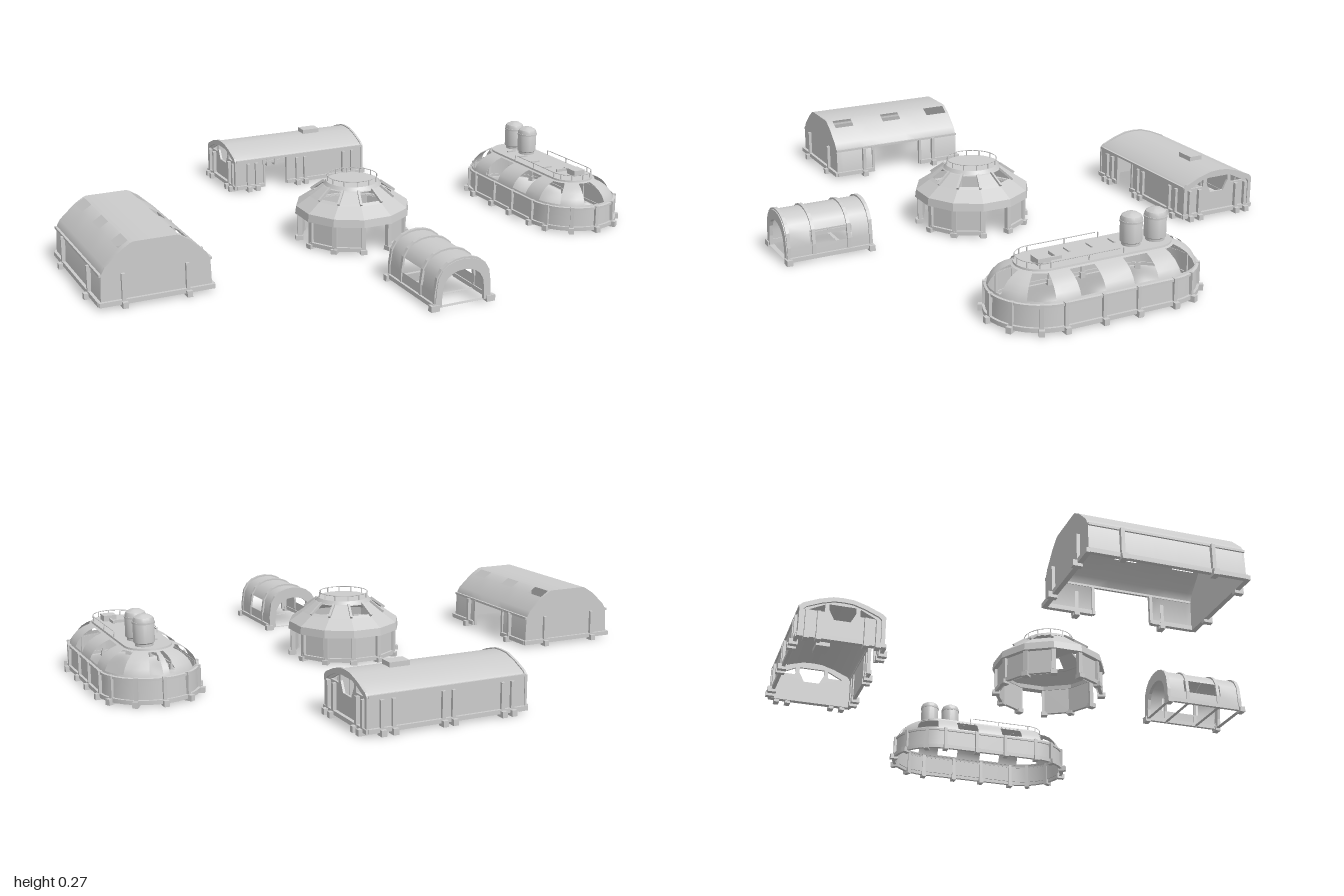
import * as THREE from 'three';
import { toCreasedNormals } from 'three/addons/utils/BufferGeometryUtils.js';

const mat = new THREE.MeshStandardMaterial({ color: 0xcccccc, side: THREE.DoubleSide });

function add(g, name, geo, x = 0, y = 0, z = 0, ry = 0) {
  const m = new THREE.Mesh(geo, mat);
  m.name = name;
  m.position.set(x, y, z);
  m.rotation.y = ry;
  g.add(m);
  return m;
}
const box = (g, name, w, h, d, x, y, z, ry) =>
  add(g, name, new THREE.BoxGeometry(w, h, d), x, y + h / 2, z, ry);

// Sheet swept through stations us and profile points vs; open(i, j) leaves a cell out
function shell(us, vs, point, open = () => false, crease = 0.5) {
  const pos = [];
  for (let i = 0; i < us.length - 1; i++) {
    for (let j = 0; j < vs.length - 1; j++) {
      if (open(i, j)) continue;
      const a = point(us[i], vs[j]), b = point(us[i + 1], vs[j]);
      const c = point(us[i + 1], vs[j + 1]), d = point(us[i], vs[j + 1]);
      pos.push(...a, ...b, ...c, ...a, ...c, ...d);
    }
  }
  const geo = new THREE.BufferGeometry();
  geo.setAttribute('position', new THREE.Float32BufferAttribute(pos, 3));
  return toCreasedNormals(geo, crease);
}
const mirror = half => [...half, ...half.slice(0, -1).reverse().map(([x, y]) => [-x, y])];
const alongZ = (z, p) => [p[0], p[1], z];
const poly = pts => new THREE.Shape(pts.map(p => new THREE.Vector2(p[0], p[1])));
const hole = pts => new THREE.Path(pts.map(p => new THREE.Vector2(p[0], p[1])));
const slab = (shape, depth) => new THREE.ExtrudeGeometry(shape, { depth, bevelEnabled: false });

// Arched hoop: outline grown outwards, inner outline cut through
function hoop(prof, grow, inner, depth) {
  const s = poly(prof.map(([x, y]) => [x * grow, y * grow - 0.01 * (grow - 1)]));
  s.holes.push(hole(prof.map(([x, y], i) =>
    [x * inner, i === 0 || i === prof.length - 1 ? 0.0102 : y * inner])));
  return slab(s, depth);
}

// Post with a wider foot, its outer side towards local +z
function post(g, x, z, ry, h) {
  const p = new THREE.Group();
  p.name = 'wallPost';
  p.position.set(x, 0, z);
  p.rotation.y = ry;
  box(p, 'postShaft', 0.012, h, 0.014, 0, 0.01, 0);
  box(p, 'postFoot', 0.018, 0.02, 0.03, 0, 0, 0.005);
  g.add(p);
}

function storageHall() {
  const g = new THREE.Group();
  g.name = 'storageHall';
  g.position.set(-0.795, 0, 0.115);
  const prof = mirror([[0.183, 0.01], [0.179, 0.11], [0.165, 0.135], [0.112, 0.183],
    [0.08, 0.203], [0.07, 0.206], [0, 0.206]]);
  const zs = [-0.255, -0.245, -0.16, -0.095, -0.045, 0.03, 0.105, 0.155, 0.23, 0.255];
  const n = prof.length - 2;
  const open = (i, j) => ((j === 3 || j === n - 3) && [1, 4, 7].includes(i)) ||
    (j === 0 && i >= 3 && i <= 5);
  add(g, 'wallsAndRoof', shell(zs, prof, alongZ, open));
  for (const s of [-1, 1]) {
    add(g, 'endWall', slab(poly(prof), 0.006), 0, 0, s * 0.252 - 0.003);
    box(g, 'endSill', 0.38, 0.015, 0.015, 0, 0.01, s * 0.258);
    box(g, 'eaveRail', 0.008, 0.008, 0.51, s * 0.181, 0.106, 0);
    for (const z of [-0.15, 0.145]) post(g, s * 0.187, z, s * Math.PI / 2, 0.1);
    for (const x of [-0.11, 0.1]) post(g, x, s * 0.259, s > 0 ? 0 : Math.PI, 0.1);
    box(g, 'doorJamb', 0.012, 0.1, 0.01, 0.181, 0.01, 0.005 + s * 0.1);
  }
  box(g, 'leftSillRear', 0.015, 0.015, 0.16, 0.185, 0.01, -0.175);
  box(g, 'leftSillFront', 0.015, 0.015, 0.15, 0.185, 0.01, 0.18);
  box(g, 'rightSill', 0.015, 0.015, 0.51, -0.185, 0.01, 0);
  for (const x of [-0.195, 0.195]) for (const z of [-0.15, 0.145]) box(g, 'foot', 0.02, 0.02, 0.02, x, 0, z);
  return g;
}

function entranceTunnel() {
  const g = new THREE.Group();
  g.name = 'entranceTunnel';
  g.position.set(0.035, 0, 0.685);
  const prof = mirror([[0.097, 0.01], [0.097, 0.055], [0.09, 0.103], [0.075, 0.128],
    [0.053, 0.145], [0.028, 0.154], [0, 0.157]]);
  const n = prof.length - 2;
  add(g, 'tunnelSkin', shell([-0.15, -0.08, 0.067, 0.15], prof, alongZ,
    (i, j) => i === 1 && (j === 1 || j === n - 1), 0.7));
  for (const z of [-0.145, -0.068, 0.055, 0.142]) add(g, 'rib', hoop(prof, 1.04, 0.97, 0.012), 0, 0, z - 0.006);
  for (const s of [-1, 1]) {
    add(g, 'endArch', hoop(prof, 1, 0.78, 0.012), 0, 0, s * 0.145 - 0.006);
    for (const z of [-0.145, 0.145]) box(g, 'foot', 0.03, 0.02, 0.02, s * 0.1, 0, z);
    box(g, 'sill', 0.012, 0.014, 0.3, s * 0.099, 0.008, 0);
  }
  return g;
}

function domeHouse() {
  const g = new THREE.Group();
  g.name = 'domeHouse';
  g.position.set(0.022, 0, 0.105);
  // twelve sides; side 0 faces the front, side 3 the left, side 9 the right
  const as = Array.from({ length: 13 }, (_, k) => (k - 0.5) * Math.PI / 6);
  const around = (a, p) => [p[0] * Math.sin(a), p[1], p[0] * Math.cos(a)];
  const door = i => [0, 3, 9].includes(i);
  add(g, 'lowerWall', shell(as, [[0.187, 0.01], [0.187, 0.1]], around, door, 0.1));
  add(g, 'innerWall', shell(as, [[0.178, 0.01], [0.178, 0.1]], around, door, 0.1));
  add(g, 'eaveBand', shell(as, [[0.175, 0.098], [0.204, 0.098], [0.2, 0.125], [0.152, 0.158], [0.145, 0.158]],
    around, undefined, 0.1));
  add(g, 'windowBand', shell(as, [[0.152, 0.158], [0.142, 0.166], [0.105, 0.194], [0.095, 0.2]], around,
    (i, j) => j === 1 && i % 2 === 0, 0.1));
  add(g, 'roofCap', new THREE.CylinderGeometry(0.092, 0.1, 0.012, 24), 0, 0.203, 0);
  add(g, 'roofRail', new THREE.TorusGeometry(0.088, 0.0015, 4, 36), 0, 0.227, 0).rotation.x = Math.PI / 2;
  as.slice(1).forEach((a, i) => {
    const s = Math.sin(a), c = Math.cos(a);
    box(g, 'railPost', 0.003, 0.02, 0.003, 0.088 * s, 0.208, 0.088 * c);
    box(g, 'cornerPost', 0.016, 0.095, 0.016, 0.187 * s, 0.005, 0.187 * c, a);
    box(g, 'cornerFoot', 0.022, 0.016, 0.026, 0.19 * s, 0, 0.19 * c, a);
    const rib = box(g, 'roofRib', 0.008, 0.062, 0.008, 0.128 * s, 0.15, 0.128 * c);
    rib.rotation.set(-0.94, a, 0, 'YXZ');
    const m = a - Math.PI / 12;
    if (!door(i)) box(g, 'wallSill', 0.1, 0.014, 0.012, 0.184 * Math.sin(m), 0.008, 0.184 * Math.cos(m), m);
  });
  return g;
}

function longBarrack() {
  const g = new THREE.Group();
  g.name = 'longBarrack';
  g.position.set(0.122, 0, -0.69);
  g.rotation.y = Math.PI / 2; // local z runs along x, local -x faces the front
  const prof = mirror([[0.143, 0.01], [0.143, 0.12], [0.132, 0.131], [0.08, 0.153], [0.035, 0.166], [0, 0.168]]);
  const n = prof.length - 2;
  add(g, 'wallsAndRoof', shell([-0.275, -0.155, -0.06, 0.275], prof, alongZ, (i, j) => i === 1 && j === n, 0.4));
  for (const s of [-1, 1]) {
    // end wall with a clerestory of three openings
    const wall = poly(prof);
    wall.holes.push(hole([[0.028, 0.09], [0.046, 0.125], [0.046, 0.145], [-0.046, 0.145], [-0.046, 0.125], [-0.028, 0.09]]));
    for (const t of [-1, 1]) wall.holes.push(hole([[t * 0.06, 0.115], [t * 0.115, 0.115], [t * 0.06, 0.142]]));
    add(g, 'endWall', slab(wall, 0.008), 0, 0, s * 0.268 - 0.004);
    add(g, 'endTrim', hoop(prof, 1.025, 0.93, 0.008), 0, 0, s * 0.276 - 0.004);
    box(g, 'endSill', 0.3, 0.014, 0.012, 0, 0.01, s * 0.278);
    for (const x of [-0.12, -0.08, 0.08, 0.12]) post(g, x, s * 0.278, s > 0 ? 0 : Math.PI, 0.1);
    for (const z of [-0.225, -0.19, -0.015, 0.02, 0.19, 0.23]) post(g, s * 0.146, z, s * Math.PI / 2, 0.1);
    box(g, 'eaveRail', 0.008, 0.008, 0.55, s * 0.144, 0.118, 0);
    box(g, 'doorJamb', 0.012, 0.11, 0.008, -0.142, 0.01, -0.1075 + s * 0.05);
  }
  box(g, 'rearSill', 0.012, 0.014, 0.55, 0.147, 0.01, 0);
  box(g, 'frontSillLong', 0.012, 0.014, 0.335, -0.147, 0.01, 0.1075);
  box(g, 'frontSillShort', 0.012, 0.014, 0.12, -0.147, 0.01, -0.215);
  box(g, 'roofVent', 0.05, 0.03, 0.07, 0, 0.153, 0.105);
  return g;
}

function capsuleHouse() {
  const g = new THREE.Group();
  g.name = 'capsuleHouse';
  g.position.set(0.828, 0, 0.095);
  const L = 0.19, D = Math.PI / 180;
  // stations round the stadium plan: [centre z, angle, window starts here]
  const quarter = [[L, 0, 1], [L, 8, 1], [L, 16, 0], [L, 27, 0], [L, 38, 0], [L, 48, 1], [L, 59, 1],
    [L, 70, 1], [L, 80, 0], [L, 90, 0], [0.135, 90, 1], [0.05, 90, 0]];
  const shut = quarter.map((q, i) => (i ? quarter[i - 1][2] : 0));
  const half = [...quarter, ...quarter.map(([z, a], i) => [-z, 180 - a, shut[i]]).reverse()];
  const us = [...half, ...half.slice(1).map(([z, a, w]) => [-z, a + 180, w])];
  const point = ([z, a], [r, y]) => [r * Math.sin(a * D), y, z + r * Math.cos(a * D)];
  add(g, 'lowerWall', shell(us, [[0.162, 0.01], [0.159, 0.088]], point));
  add(g, 'wallRim', shell(us, [[0.158, 0.084], [0.165, 0.084], [0.165, 0.092], [0.156, 0.094]], point));
  add(g, 'vault', shell(us, [[0.159, 0.088], [0.156, 0.1], [0.147, 0.118], [0.13, 0.137], [0.108, 0.151],
    [0.087, 0.159], [0.076, 0.163]], point, (i, j) => us[i][2] && j > 0 && j < 5, 0.7));
  add(g, 'baseFlange', shell(us, [[0.158, 0.022], [0.17, 0.022], [0.17, 0.008], [0.158, 0.008]], point));
  add(g, 'roofDeck', shell(us, [[0.08, 0.158], [0.078, 0.168], [0, 0.168]], point));
  // posts and deck railing
  for (const [z, a] of [[L, 0], [L, 32], [L, 64], [L, 90], [0.06, 90], [-0.06, 90], [-L, 90], [-L, 116], [-L, 148], [-L, 180]]) {
    for (const s of a % 180 ? [-1, 1] : [1]) {
      const [x, , pz] = point([z, a * s], [0.163, 0]);
      post(g, x, pz, a * s * D, 0.085);
      const [rx, , rz] = point([z, a * s], [0.074, 0]);
      if (z > -0.1) box(g, 'railPost', 0.003, 0.02, 0.003, rx, 0.166, rz);
    }
  }
  const rail = us.filter(u => u[0] > -0.1).map(u => new THREE.Vector3(...point(u, [0.074, 0.186])));
  const front = rail.filter(p => p.x <= 0.001).concat(rail.filter(p => p.x > 0.001));
  front.sort((p, q) => Math.atan2(p.x, p.z + 0.06) - Math.atan2(q.x, q.z + 0.06));
  const unique = front.filter((p, i) => !i || p.distanceTo(front[i - 1]) > 0.002);
  add(g, 'deckRail', new THREE.TubeGeometry(new THREE.CatmullRomCurve3(unique), 60, 0.0015, 4));
  // storage tanks
  const tank = [[0, 0], [0.03, 0], [0.03, 0.008], [0.035, 0.012], [0.035, 0.085], [0.031, 0.094], [0.018, 0.102], [0, 0.105]];
  for (const z of [-0.21, -0.122]) {
    add(g, 'storageTank', toCreasedNormals(new THREE.LatheGeometry(tank.map(p => new THREE.Vector2(...p)), 24), 0.5),
      0.018, 0.168, z);
    add(g, 'tankBand', new THREE.CylinderGeometry(0.037, 0.037, 0.006, 24), 0.018, 0.245, z);
  }
  // roof unit with its pipe, and hatch handles
  box(g, 'roofUnit', 0.045, 0.022, 0.045, 0.02, 0.166, 0.195);
  box(g, 'pipe', 0.007, 0.012, 0.05, 0.02, 0.166, 0.15);
  box(g, 'pipeElbow', 0.05, 0.012, 0.007, -0.002, 0.166, 0.14);
  for (const z of [-0.16, -0.08, 0.0, 0.08]) box(g, 'deckStep', 0.035, 0.006, 0.006, -0.025, 0.167, z);
  return g;
}

export function createModel() {
  const root = new THREE.Group();
  root.name = 'outpost';
  root.add(storageHall(), entranceTunnel(), domeHouse(), longBarrack(), capsuleHouse());
  return root;
}
